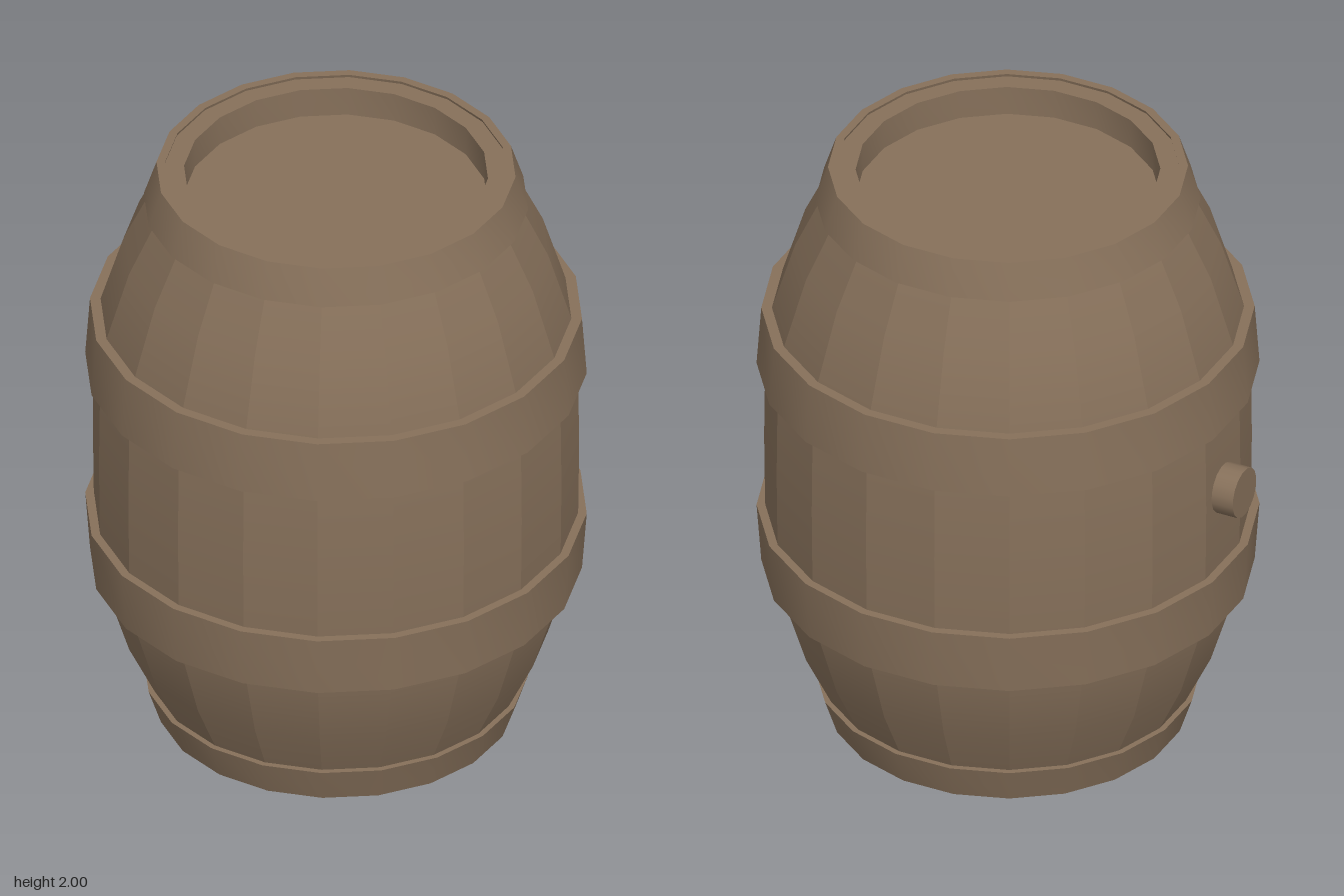
import * as THREE from 'three';
import { toCreasedNormals } from 'three/addons/utils/BufferGeometryUtils.js';

const SIDES = 20;
const wood = new THREE.MeshStandardMaterial({ color: 0x86705a });

const toPoints = (pairs) => pairs.map(([r, y]) => new THREE.Vector2(r, y));

// Ring or disc turned around the barrel axis, sharp at its rims
function turned(name, pairs) {
  const geometry = toCreasedNormals(new THREE.LatheGeometry(toPoints(pairs), SIDES), 0.6);
  const mesh = new THREE.Mesh(geometry, wood);
  mesh.name = name;
  return mesh;
}

// One plank: flat across its width, smooth along its height
function staveGeometry(pairs) {
  const step = (Math.PI * 2) / SIDES;
  const geometry = new THREE.LatheGeometry(toPoints(pairs), 1, 0, step);
  const normal = geometry.attributes.normal;
  for (let i = 0; i < normal.count; i++) {
    const radial = Math.hypot(normal.getX(i), normal.getZ(i));
    normal.setXYZ(i, radial * Math.sin(step / 2), normal.getY(i), radial * Math.cos(step / 2));
  }
  return geometry;
}

export function createModel() {
  const model = new THREE.Group();
  model.name = 'barrel';
  const barrel = new THREE.Group();
  barrel.name = 'cask';
  barrel.position.x = 0.018;
  model.add(barrel);

  // Bulging staves
  const half = [[0.768, 1], [0.765, 1.25], [0.745, 1.47], [0.67, 1.71], [0.588, 1.88], [0.545, 1.99]];
  const profile = [...half.slice(1).reverse().map(([r, y]) => [r, 2 - y]), ...half];
  const stave = staveGeometry(profile);
  const staves = new THREE.Group();
  staves.name = 'staves';
  for (let i = 0; i < SIDES; i++) {
    const plank = new THREE.Mesh(stave, wood);
    plank.name = 'stave';
    plank.rotation.y = (i * Math.PI * 2) / SIDES;
    staves.add(plank);
  }
  barrel.add(staves);

  // Recessed heads with their rims
  barrel.add(turned('topHead', [[0.545, 1.99], [0.48, 1.99], [0.48, 1.89], [0, 1.89]]));
  barrel.add(turned('bottomHead', [[0, 0.11], [0.48, 0.11], [0.48, 0.01], [0.545, 0.01]]));

  // Hoops: [name, bottom y, bottom radius, top y, top radius, inner bottom, inner top]
  const hoops = [
    ['bottomHoop', 0, 0.567, 0.12, 0.607, 0.54, 0.57],
    ['lowerHoop', 0.535, 0.777, 0.74, 0.792, 0.73, 0.75],
    ['upperHoop', 1.27, 0.792, 1.475, 0.777, 0.75, 0.73],
    ['topHoop', 1.88, 0.607, 2, 0.567, 0.57, 0.54],
  ];
  for (const [name, y0, r0, y1, r1, in0, in1] of hoops) {
    barrel.add(turned(name, [[in0, y0], [r0, y0], [r1, y1], [in1, y1], [in0, y0]]));
  }

  // Bung on the middle of one stave
  const bung = new THREE.Mesh(new THREE.CylinderGeometry(0.083, 0.083, 0.12, 16), wood);
  bung.name = 'bung';
  const outward = new THREE.Vector3(-Math.cos(Math.PI / SIDES), 0, -Math.sin(Math.PI / SIDES));
  bung.quaternion.setFromUnitVectors(new THREE.Vector3(0, 1, 0), outward);
  bung.position.copy(outward).multiplyScalar(0.773).setY(1.018);
  barrel.add(bung);

  return model;
}
